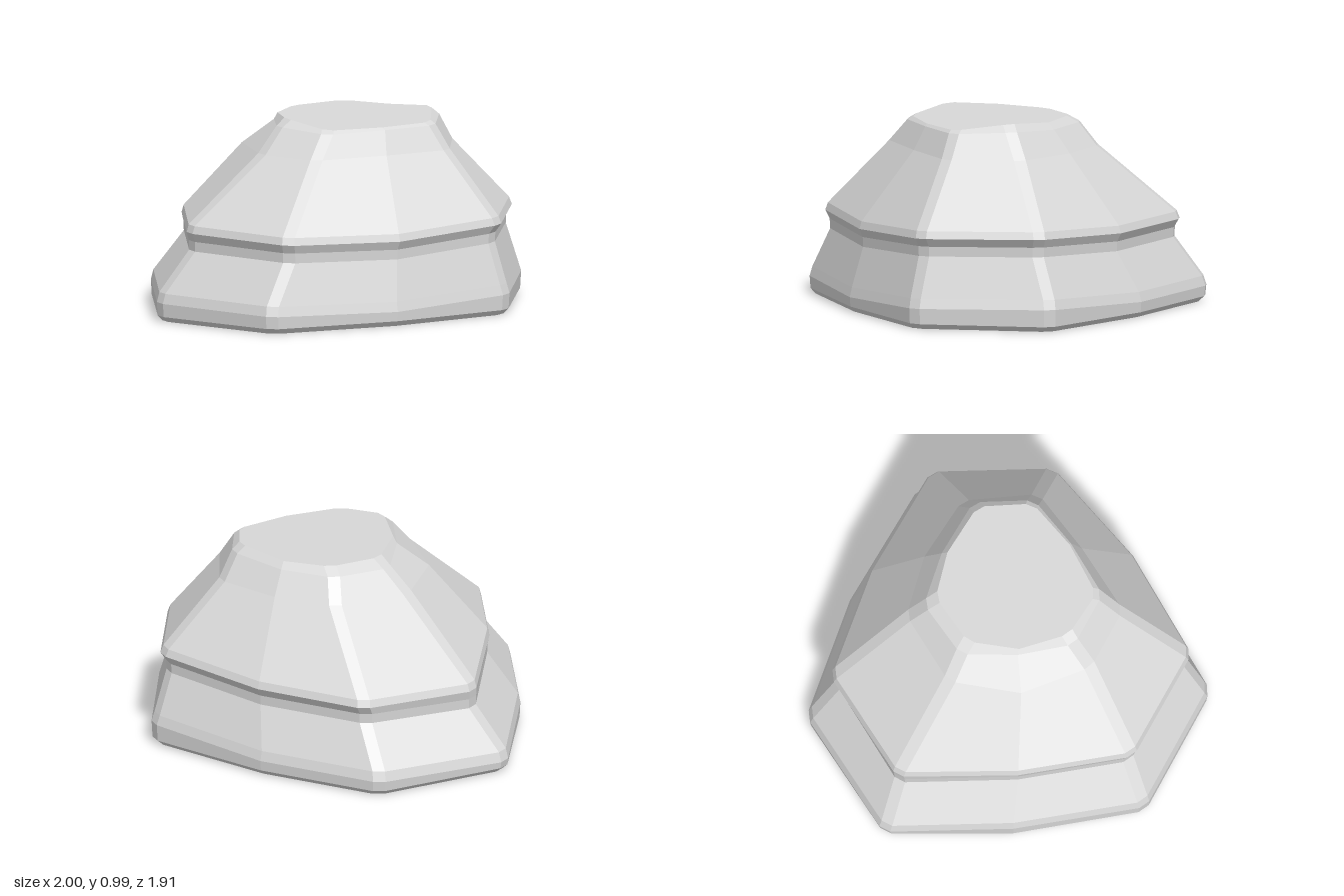
import * as THREE from 'three';

// Outlines run clockwise from above, starting at the back: [x, z].
// Indices 1, 4 and 7 are soft kinks; the others are chamfered corners.
const KINKS = [1, 4, 7];
const base = [[-.53, -.96], [.13, -.92], [.79, -.75], [1.01, -.08], [.64, .47], [.16, .96], [-.53, .82], [-.83, .21], [-1.01, -.42]];
const groove = [[-.41, -.84], [.175, -.805], [.745, -.66], [.925, -.09], [.61, .41], [.195, .825], [-.405, .7], [-.66, .185], [-.825, -.395]];
const ledge = [[-.41, -.87], [.18, -.83], [.77, -.68], [.96, -.09], [.63, .42], [.2, .85], [-.41, .72], [-.67, .19], [-.83, -.4]];
const shoulder = [[-.13, -.55], [.2, -.55], [.54, -.45], [.68, -.09], [.46, .2], [.2, .49], [-.14, .42], [-.37, .12], [-.41, -.25]];
const rim = [[-.09, -.47], [.2, -.46], [.5, -.38], [.6, -.09], [.43, .15], [.21, .38], [-.09, .32], [-.22, .06], [-.29, -.22]];
const crown = [[-.05, -.42], [.2, -.43], [.47, -.35], [.575, -.09], [.415, .15], [.2, .35], [-.06, .28], [-.2, .06], [-.23, -.2]];

// Height variations of the strata and of the summit
const strata = [0, 0, .035, .025, -.005, .01, .015, .025, -.02];
const rimY = [.94, .935, .955, .94, .94, .935, .95, .94, .925];
const crownY = [.975, .97, .992, .955, .953, .952, .988, .975, .968];

const ring = (outline, scale, y, tilt = 0) => outline.map(([x, z], i) =>
  new THREE.Vector3(x * scale, Array.isArray(y) ? y[i] : y + tilt * strata[i], z * scale));

// Replace each corner with two points, leaving the kinks sharp
function chamfer(points, size) {
  const n = points.length;
  return points.flatMap((p, i) => {
    if (KINKS.includes(i)) return [p];
    return [points[(i + n - 1) % n], points[(i + 1) % n]].map((q) =>
      p.clone().lerp(q, Math.min(.4, size / p.distanceTo(q))));
  });
}

// Join the rings with flat-shaded polygons, each with one averaged normal
function loft(rings) {
  const pos = [], nor = [];
  const face = (pts) => {
    const normal = new THREE.Vector3();
    for (let i = 1; i < pts.length - 1; i++) {
      const u = pts[i].clone().sub(pts[0]), v = pts[i + 1].clone().sub(pts[0]);
      normal.add(u.cross(v));
    }
    normal.normalize();
    for (let i = 1; i < pts.length - 1; i++) {
      for (const p of [pts[0], pts[i], pts[i + 1]]) {
        pos.push(p.x, p.y, p.z);
        nor.push(normal.x, normal.y, normal.z);
      }
    }
  };
  const n = rings[0].length;
  for (let k = 0; k < rings.length - 1; k++) {
    const a = rings[k], b = rings[k + 1];
    for (let i = 0; i < n; i++) {
      const j = (i + 1) % n;
      face([a[j], a[i], b[i], b[j]]);
    }
  }
  face(rings[0]);
  face([...rings[rings.length - 1]].reverse());
  const geo = new THREE.BufferGeometry();
  geo.setAttribute('position', new THREE.Float32BufferAttribute(pos, 3));
  geo.setAttribute('normal', new THREE.Float32BufferAttribute(nor, 3));
  return geo;
}

export function createModel() {
  const group = new THREE.Group();
  group.name = 'rock';
  const stone = new THREE.MeshStandardMaterial({ color: 0xd8d8d8 });
  stone.name = 'pale grey stone';

  const rings = [
    ring(base, .967, 0),            // underside
    ring(base, .995, .027),
    ring(base, 1, .08, 1),          // widest band
    ring(base, .985, .13, 1),
    ring(groove, 1, .337, 1),       // groove
    ring(groove, 1.003, .387, 1),
    ring(ledge, 1, .43, 1),         // ledge
    ring(ledge, .985, .468, 1),
    ring(shoulder, 1, .82),         // upper slope
    ring(rim, 1, rimY),
    ring(crown, 1, crownY),         // summit
  ].map((r) => chamfer(r, .035));

  const body = new THREE.Mesh(loft(rings), stone);
  body.name = 'rockBody';
  group.add(body);
  return group;
}
